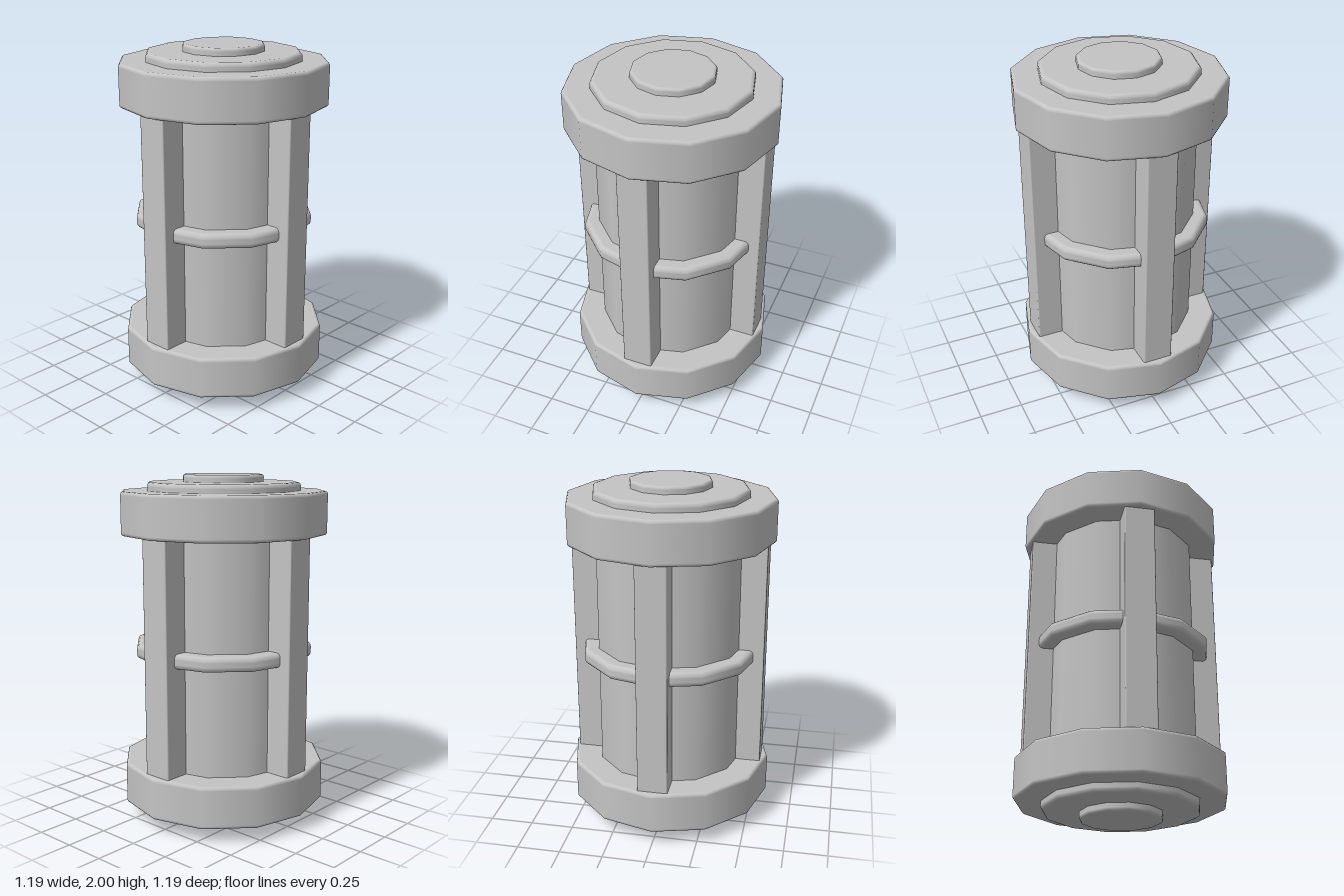
import * as THREE from 'three';
import { RoundedBoxGeometry } from 'three/addons/geometries/RoundedBoxGeometry.js';

const SIDES = 12;

// Twelve-sided solid disc with rounded rims; support points keep the flats flat
function roundedDisc(radius, y0, y1, bevel) {
  const points = [new THREE.Vector2(0, y0), new THREE.Vector2(radius - bevel - 0.004, y0)];
  const steps = 3;
  for (let i = 0; i <= steps; i++) {
    const a = (i / steps) * Math.PI / 2;
    points.push(new THREE.Vector2(radius - bevel + bevel * Math.sin(a), y0 + bevel - bevel * Math.cos(a)));
  }
  points.push(new THREE.Vector2(radius, y0 + bevel + 0.004));
  points.push(new THREE.Vector2(radius, y1 - bevel - 0.004));
  for (let i = 0; i <= steps; i++) {
    const a = (i / steps) * Math.PI / 2;
    points.push(new THREE.Vector2(radius - bevel + bevel * Math.cos(a), y1 - bevel + bevel * Math.sin(a)));
  }
  points.push(new THREE.Vector2(radius - bevel - 0.004, y1), new THREE.Vector2(0, y1));
  return new THREE.LatheGeometry(points, SIDES);
}

export function createModel() {
  const group = new THREE.Group();
  group.name = 'cagedCanister';
  const grey = new THREE.MeshStandardMaterial({ color: 0xc4c4c4 });
  grey.name = 'grey';

  function add(name, geometry) {
    const mesh = new THREE.Mesh(geometry, grey);
    mesh.name = name;
    group.add(mesh);
    return mesh;
  }

  // Central barrel and the band around its middle
  add('barrel', new THREE.CylinderGeometry(0.437, 0.437, 1.4, SIDES, 1, true)).position.y = 1;
  add('middleBand', roundedDisc(0.52, 0.96, 1.045, 0.025));

  // Stepped end caps, mirrored top and bottom
  const capParts = [
    ['EndCap', 0.597, 0.09, 0.335, 0.016],
    ['CapPlate', 0.445, 0.042, 0.11, 0.02],
    ['CapHub', 0.234, 0, 0.06, 0.014],
  ];
  for (const [part, radius, y0, y1, bevel] of capParts) {
    add('bottom' + part, roundedDisc(radius, y0, y1, bevel));
    add('top' + part, roundedDisc(radius, 2 - y1, 2 - y0, bevel));
  }

  // Four upright posts between the caps
  ['front', 'left', 'back', 'right'].forEach((side, i) => {
    const angle = i * Math.PI / 2;
    const post = add(side + 'Post', new RoundedBoxGeometry(0.174, 1.42, 0.18, 2, 0.008));
    post.position.set(Math.sin(angle) * 0.469, 1, Math.cos(angle) * 0.469);
    post.rotation.y = angle;
  });

  return group;
}
